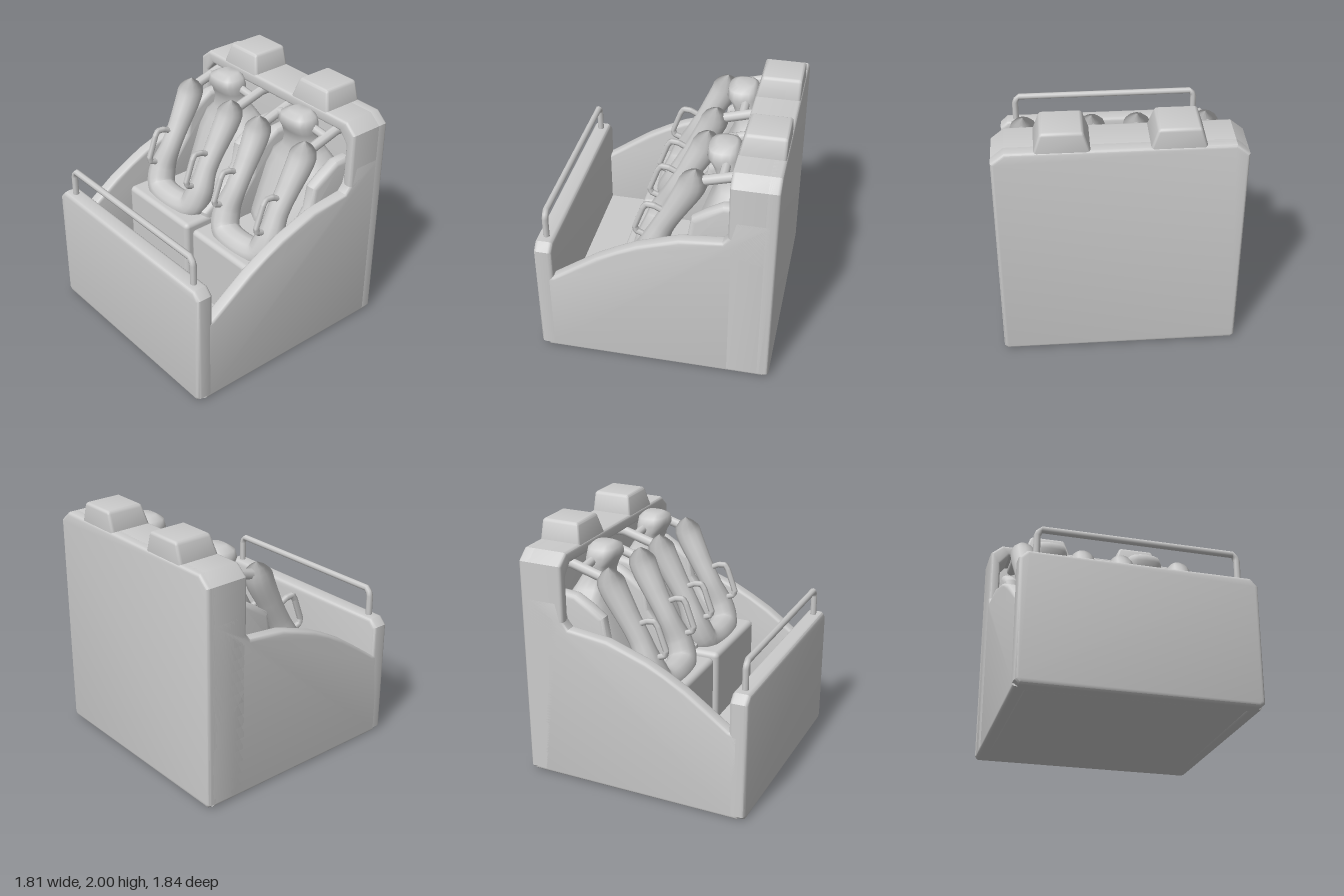
import * as THREE from 'three';
import { toCreasedNormals } from 'three/addons/utils/BufferGeometryUtils.js';
import { RoundedBoxGeometry } from 'three/addons/geometries/RoundedBoxGeometry.js';

const material = new THREE.MeshStandardMaterial({ color: 0xcccccc, side: THREE.DoubleSide });
const V = (x, y, z) => new THREE.Vector3(x, y, z);

function add(parent, name, geometry, x = 0, y = 0, z = 0) {
  const mesh = new THREE.Mesh(geometry, material);
  mesh.name = name;
  mesh.position.set(x, y, z);
  parent.add(mesh);
  return mesh;
}

const outline = (pts) => new THREE.Shape(pts.map(([x, y]) => new THREE.Vector2(x, y)));

// Extrusion with softened edges that keeps the outline's size and runs from z = 0 to depth
function slab(shape, depth, bevel = 0.025) {
  const g = new THREE.ExtrudeGeometry(shape, {
    depth: depth - 2 * bevel, bevelSize: bevel, bevelThickness: bevel,
    bevelOffset: -bevel, bevelSegments: 3, curveSegments: 6,
  });
  g.translate(0, 0, bevel);
  return toCreasedNormals(g, 0.6);
}

// Side profile given as [z, y], extruded across x from 0 to width
function sideSlab(pts, width, bevel) {
  const g = slab(outline(pts.map(([z, y]) => [-z, y])), width, bevel);
  return g.rotateY(Math.PI / 2);
}

// Mirror a half outline [x, y] (listed bottom to top on +x) to the other side
const mirrored = (half) => [...half, ...half.map(([x, y]) => [-x, y]).reverse()];

// Smooth body through horizontal rings [y, halfWidth, frontZ, backZ]
function loft(rings, n = 16) {
  const pos = [], idx = [];
  const all = [[rings[0][0], 0, -0.5, -0.5], ...rings, [rings.at(-1)[0], 0, -0.45, -0.45]];
  all.forEach(([y, w, f, b]) => {
    for (let i = 0; i < n; i++) {
      const a = (i / n) * Math.PI * 2, s = Math.sin(a), c = Math.cos(a);
      const sq = (v) => Math.sign(v) * Math.pow(Math.abs(v), 0.75);
      pos.push(sq(s) * w, y, (f + b) / 2 + sq(c) * (f - b) / 2);
    }
  });
  for (let r = 0; r < all.length - 1; r++)
    for (let i = 0; i < n; i++) {
      const a = r * n + i, b = r * n + (i + 1) % n;
      idx.push(a, b, b + n, a, b + n, a + n);
    }
  const g = new THREE.BufferGeometry();
  g.setAttribute('position', new THREE.Float32BufferAttribute(pos, 3));
  g.setIndex(idx);
  g.computeVertexNormals();
  return g;
}

// Tube along a path whose radius follows radiusAt(t)
function taperedTube(path, segments, sides, radiusAt) {
  const g = new THREE.TubeGeometry(path, segments, 1, sides);
  const p = g.attributes.position, v = V(0, 0, 0);
  for (let i = 0; i <= segments; i++) {
    const c = path.getPointAt(i / segments);
    for (let j = 0; j <= sides; j++) {
      const k = i * (sides + 1) + j;
      v.fromBufferAttribute(p, k).sub(c).multiplyScalar(radiusAt(i / segments)).add(c);
      p.setXYZ(k, v.x, v.y, v.z);
    }
  }
  return g;
}

// Bent bar with straight runs between points and closed ends
function bar(points, radius, sides = 8) {
  const path = new THREE.CurvePath();
  for (let i = 1; i < points.length; i++) path.add(new THREE.LineCurve3(points[i - 1], points[i]));
  const n = points.length * 10;
  return taperedTube(path, n, sides, (t) => (t === 0 || t === 1 ? 0 : radius));
}

function buildBody() {
  const body = new THREE.Group();
  body.name = 'carBody';

  // Floor and front panel
  add(body, 'floor', new THREE.BoxGeometry(1.76, 0.26, 1.76), 0, 0.14, 0);
  const front = mirrored([[0.87, 0], [0.905, 0.03], [0.905, 0.96], [0.845, 1.02]]);
  add(body, 'frontPanel', slab(outline(front), 0.14, 0.03), 0, 0, 0.78);

  // Sloping side walls
  const profile = [[-0.88, 0.01], [0.86, 0], [0.86, 0.7], [0.78, 0.72], [0.6, 0.85], [0.43, 0.97],
    [0.27, 1.06], [0.12, 1.135], [-0.04, 1.19], [-0.2, 1.245], [-0.52, 1.28], [-0.56, 1.33], [-0.6, 1.5], [-0.88, 1.5]];
  for (const x of [0.8, -0.905])
    add(body, 'sideWall', sideSlab(profile.slice().reverse(), 0.105), x, 0, 0);

  // Back wall and the deep frame around the recess
  const back = mirrored([[0.88, 0.01], [0.905, 0.035], [0.905, 1.77], [0.81, 1.85]]);
  add(body, 'backWall', slab(outline(back), 0.115), 0, 0, -0.915);
  const frame = outline(back);
  frame.holes.push(new THREE.Path(
    mirrored([[0.82, 0.3], [0.82, 1.67], [0.75, 1.755]]).map(([x, y]) => new THREE.Vector2(x, y))));
  add(body, 'backFrame', slab(frame, 0.34), 0, 0, -0.9);

  // Tapered humps above each seat
  for (const s of [-1, 1]) {
    const g = new RoundedBoxGeometry(0.41, 0.2, 0.345, 3, 0.025);
    const p = g.attributes.position;
    for (let i = 0; i < p.count; i++) {
      const t = THREE.MathUtils.clamp((p.getY(i) + 0.05) / 0.15, 0, 1);
      p.setX(i, p.getX(i) * (1 - 0.28 * t));
      if (p.getZ(i) > 0) p.setZ(i, p.getZ(i) * (1 - 0.24 * t));
    }
    g.computeVertexNormals();
    add(body, 'topHump', toCreasedNormals(g, 0.6), s * 0.407, 1.9, -0.735);
  }

  // Grab rail on the front panel
  const rail = [[-0.77, 0.98], [-0.77, 1.19], [-0.74, 1.235], [0.74, 1.235], [0.77, 1.19], [0.77, 0.98]];
  add(body, 'frontRail', bar(rail.map(([x, y]) => V(x, y, 0.85)), 0.026));
  return body;
}

function buildSeat() {
  const seat = new THREE.Group();
  seat.name = 'seat';

  // Cushion block, backrest flowing into the headrest, side bolsters
  add(seat, 'cushion', new RoundedBoxGeometry(0.79, 0.65, 0.86, 3, 0.04), 0, 0.525, -0.13);
  add(seat, 'backrest', loft([
    [0.7, 0.37, -0.12, -0.8], [0.9, 0.37, -0.17, -0.8], [1.1, 0.36, -0.25, -0.8], [1.28, 0.34, -0.31, -0.78],
    [1.4, 0.29, -0.36, -0.72], [1.5, 0.19, -0.39, -0.66], [1.6, 0.15, -0.39, -0.6], [1.68, 0.15, -0.36, -0.58],
    [1.75, 0.16, -0.32, -0.57], [1.81, 0.14, -0.33, -0.56], [1.84, 0.08, -0.38, -0.53]]));
  const wing = [[-0.78, 0.7], [0.1, 0.7], [0.1, 0.88], [-0.1, 1.02], [-0.24, 1.2], [-0.27, 1.38],
    [-0.38, 1.46], [-0.5, 1.53], [-0.62, 1.54], [-0.78, 1.45]];
  for (const x of [0.28, -0.39])
    add(seat, 'bolster', sideSlab(wing.slice().reverse(), 0.11, 0.04), x, 0, 0);

  // U-shaped shoulder restraint, thicker across the lap
  const half = [[0.255, 1.74, -0.28], [0.255, 1.62, -0.26], [0.245, 1.4, -0.15], [0.24, 1.2, -0.04],
    [0.25, 1.0, 0.05], [0.2, 0.87, 0.1]];
  const path = new THREE.CatmullRomCurve3([
    ...half.map(([x, y, z]) => V(x, y, z)), V(0, 0.84, 0.125),
    ...half.slice().reverse().map(([x, y, z]) => V(-x, y, z))]);
  add(seat, 'shoulderRestraint', taperedTube(path, 64, 12, (t) => {
    const e = Math.min(t, 1 - t);
    if (e === 0) return 0;
    const end = THREE.MathUtils.smoothstep(e, -0.02, 0.045);
    const lap = THREE.MathUtils.smoothstep(e, 0.25, 0.38);
    return (0.107 - 0.02 * THREE.MathUtils.smoothstep(e, 0.05, 0.22) + 0.03 * lap) * end;
  }));

  for (const s of [-1, 1]) {
    // Pivot arm, headrest link and hand grip
    add(seat, 'pivotArm', bar([V(s * 0.265, 1.64, -0.27), V(s * 0.265, 1.73, -0.58), V(s * 0.265, 1.73, -0.84)], 0.04));
    add(seat, 'headrestLink', bar([V(s * 0.1, 1.73, -0.48), V(s * 0.265, 1.71, -0.48)], 0.035));
    add(seat, 'handGrip', bar([V(s * 0.248, 1.33, -0.04), V(s * 0.248, 1.365, 0.03), V(s * 0.248, 1.37, 0.09),
      V(s * 0.248, 1.33, 0.115), V(s * 0.248, 1.15, 0.18), V(s * 0.248, 1.11, 0.17), V(s * 0.248, 1.07, 0.07)], 0.024, 6));
  }
  return seat;
}

export function createModel() {
  const model = new THREE.Group();
  model.name = 'rollerCoasterCar';
  model.add(buildBody());
  for (const x of [0.425, -0.425]) {
    const seat = buildSeat();
    seat.position.x = x;
    model.add(seat);
  }
  return model;
}
